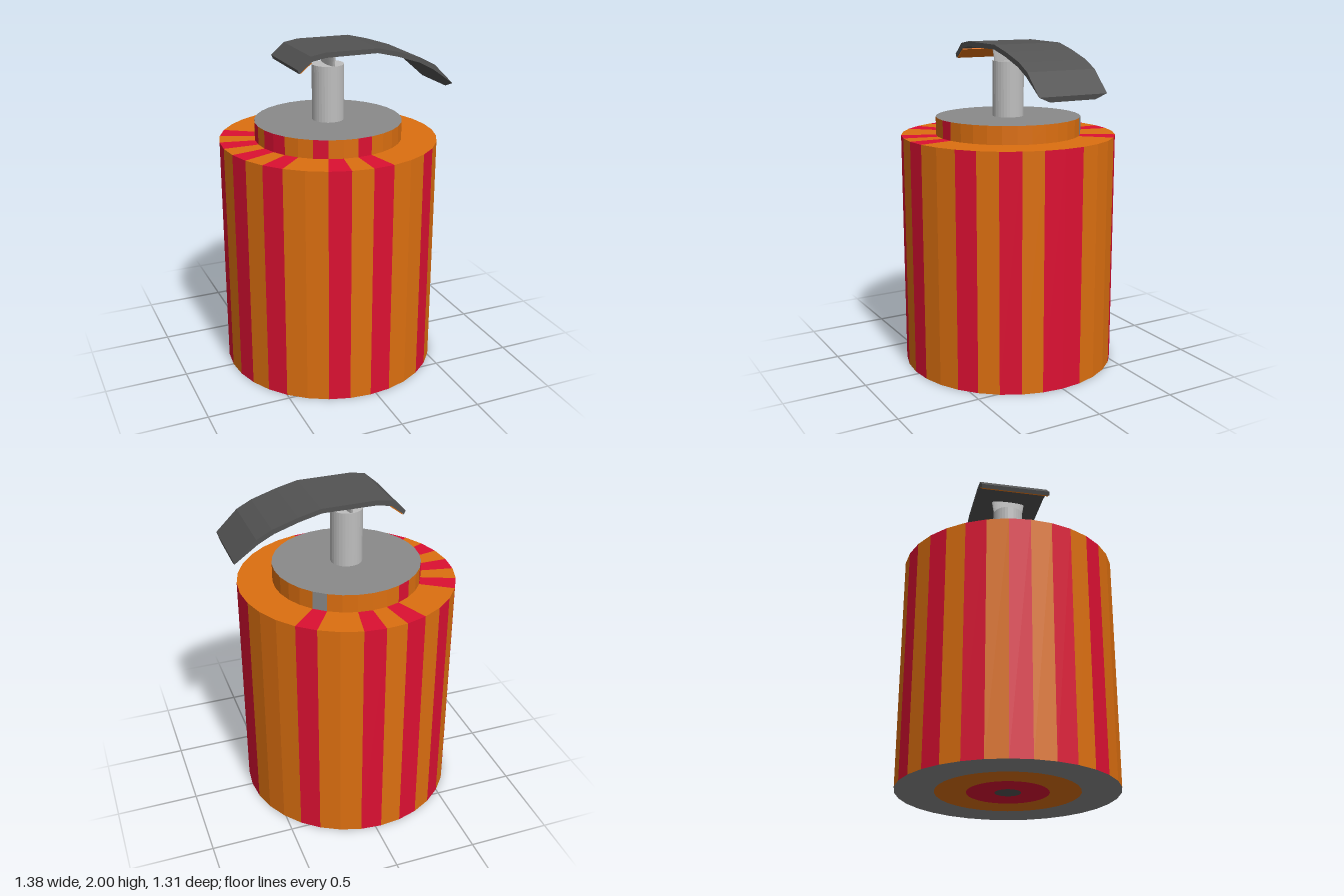
import * as THREE from 'three';

const SEG = 32;
const CX = -0.036; // axis of the round parts
const R_BODY = 0.656, R_COLLAR = 0.444;
const Y_BODY = 1.44, Y_COLLAR = 1.55;

export function createModel() {
  const model = new THREE.Group();
  const mat = (name, color) => new THREE.MeshStandardMaterial({ name, color, flatShading: true });
  const orange = mat('orange', 0xdc6f10);
  const red = mat('crimson', 0xdc1032);
  const grey = mat('mid grey', 0x8a8a8a);
  const silver = mat('light grey', 0xbebebe);
  const dark = mat('dark grey', 0x535353);
  const palette = [orange, red, grey];

  const add = (name, geometry, material, x = 0, y = 0, z = 0) => {
    const mesh = new THREE.Mesh(geometry, material);
    mesh.name = name;
    mesh.position.set(x, y, z);
    model.add(mesh);
    return mesh;
  };

  // One material group per segment: orange unless listed as red or grey
  const stripe = (geometry, reds, greys = []) => {
    geometry.clearGroups();
    for (let i = 0; i < SEG; i++) {
      geometry.addGroup(i * 6, 6, reds.includes(i) ? 1 : greys.includes(i) ? 2 : 0);
    }
    return geometry;
  };
  const wall = (r, h) => new THREE.CylinderGeometry(r, r, h, SEG, 1, true);
  const ring = (r0, r1, down = false) =>
    new THREE.RingGeometry(r0, r1, SEG, 1, -Math.PI / 2).rotateX(down ? Math.PI / 2 : -Math.PI / 2);
  const disc = (r, down = false) =>
    new THREE.CircleGeometry(r, SEG, -Math.PI / 2).rotateX(down ? Math.PI / 2 : -Math.PI / 2);

  // Striped body and shoulder
  add('bodyWall', stripe(wall(R_BODY, Y_BODY),
    [0, 3, 5, 7, 8, 12, 15, 17, 19, 21, 23, 25, 27, 30]), palette, CX, Y_BODY / 2);
  add('shoulder', stripe(ring(R_COLLAR, R_BODY),
    [0, 12, 15, 17, 21, 23, 25, 27, 30]), palette, CX, Y_BODY);

  // Collar and its flat cap
  add('collarWall', stripe(wall(R_COLLAR, Y_COLLAR - Y_BODY),
    [0, 18, 21, 23, 25, 26, 29], [12]), palette, CX, (Y_BODY + Y_COLLAR) / 2);
  add('collarCap', disc(R_COLLAR), grey, CX, Y_COLLAR);

  // Concentric rings on the underside
  add('baseOuterRing', ring(0.426, R_BODY, true), grey, CX);
  add('baseMiddleRing', ring(0.242, 0.426, true), orange, CX);
  add('baseInnerRing', ring(0.077, 0.242, true), red, CX);
  add('baseCentre', disc(0.077, true), dark, CX);

  // Stem and the flattened link that carries the lever
  add('stem', new THREE.CylinderGeometry(0.096, 0.096, 0.335, SEG), silver, CX, 1.7175);
  add('leverLink', new THREE.CylinderGeometry(0.1, 0.085, 0.1, SEG).scale(0.22, 1, 1.1),
    silver, CX, 1.93);

  // Curved lever: side profile extruded across z
  const top = [[-0.31, 1.915], [-0.23, 1.985], [-0.14, 2], [0.19, 1.997], [0.32, 1.965],
    [0.47, 1.917], [0.56, 1.87], [0.687, 1.745]];
  const bottom = [[0.68, 1.715], [0.55, 1.843], [0.46, 1.89], [0.315, 1.938], [0.185, 1.97],
    [-0.135, 1.97], [-0.22, 1.955], [-0.3, 1.892]];
  const profile = new THREE.Shape([...top, ...bottom].map(([x, y]) => new THREE.Vector2(x, y)));
  const lever = new THREE.ExtrudeGeometry(profile, { depth: 0.44, bevelEnabled: false });
  lever.translate(0, 0, -0.2225);
  // Narrow the lower edge of the long tip
  const p = lever.attributes.position;
  for (let i = 0; i < p.count; i++) {
    if (p.getY(i) < 1.72) p.setZ(i, p.getZ(i) * 0.67);
  }
  lever.computeVertexNormals();
  add('lever', lever, dark);

  // Orange plate under the short end of the lever
  const plate = add('leverUndersidePlate', new THREE.BoxGeometry(0.09, 0.006, 0.43), orange,
    -0.258, 1.921, -0.0025);
  plate.rotation.z = Math.atan2(0.063, 0.08);

  return model;
}
